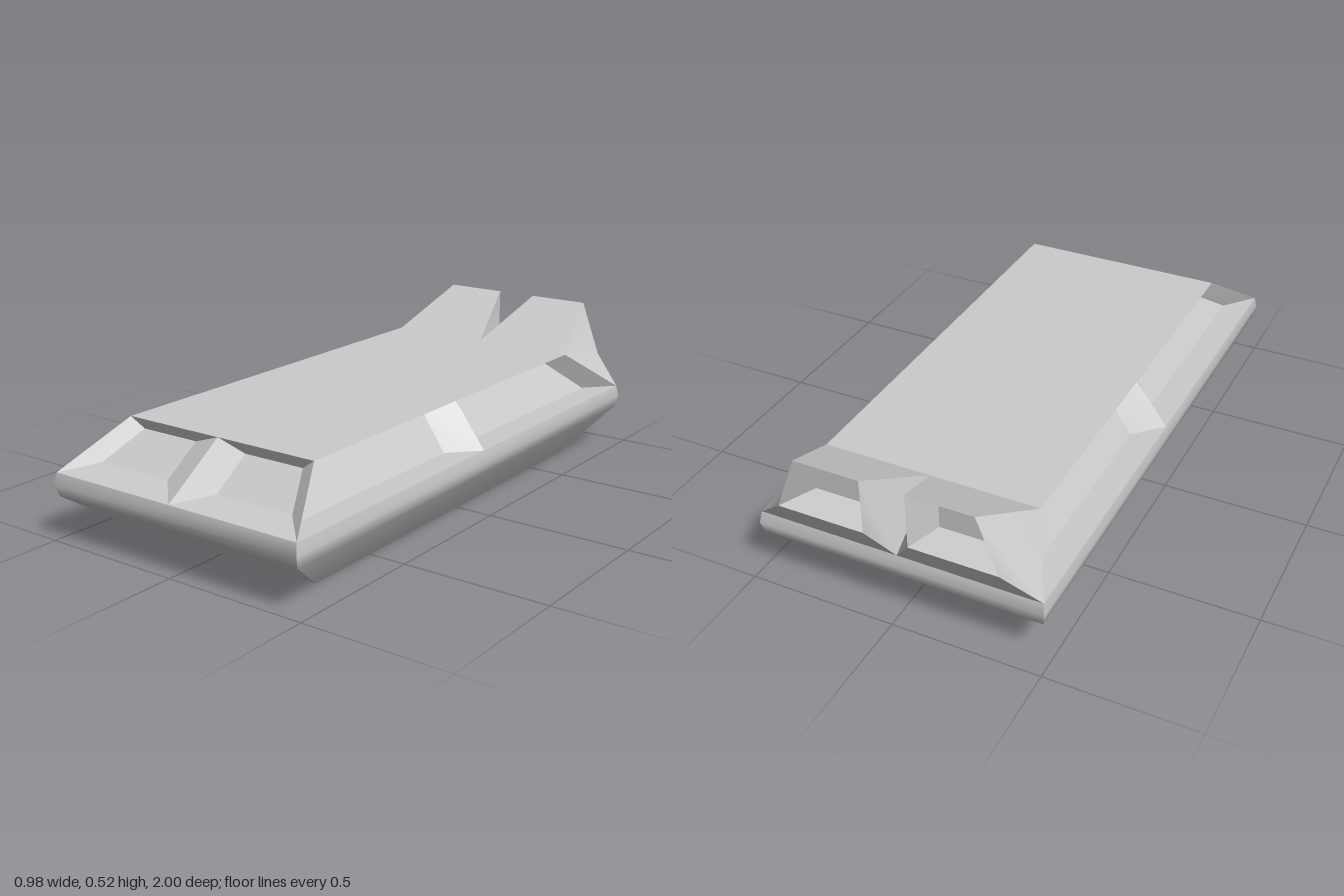
import * as THREE from 'three';

const material = new THREE.MeshStandardMaterial({ color: 0xcccccc });

function addMesh(group, name, points, index) {
  let geometry = new THREE.BufferGeometry();
  geometry.setAttribute('position', new THREE.Float32BufferAttribute(points.flat(), 3));
  geometry.setIndex(index);
  geometry.computeVertexNormals();
  const mesh = new THREE.Mesh(geometry, material);
  mesh.name = name;
  group.add(mesh);
}

// Faceted surface stepping through four-cornered rings, closed by the last one
function addFacets(group, name, rings) {
  const points = [], index = [];
  const quad = (...corners) => {
    const n = points.length;
    points.push(...corners);
    index.push(n, n + 1, n + 2, n, n + 2, n + 3);
  };
  for (let r = 0; r + 1 < rings.length; r++) {
    const a = rings[r], b = rings[r + 1];
    for (let i = 0; i < 4; i++) {
      const j = (i + 1) % 4;
      quad(a[i], a[j], b[j], b[i]);
    }
  }
  quad(...rings[rings.length - 1]);
  addMesh(group, name, points, index);
}

// The same part on the left (+x) and right (-x)
function addPair(group, name, rings) {
  addFacets(group, name + 'Left', rings);
  const mirrored = rings.map(ring => ring.map(([x, y, z]) => [-x, y, z]).reverse());
  addFacets(group, name + 'Right', mirrored);
}

// Rectangle seen counter-clockwise from above
const level = (y, x, front, back) => [[x, y, front], [x, y, back], [-x, y, back], [-x, y, front]];

export function createModel() {
  const group = new THREE.Group();
  const levels = [
    level(0, 0.37, 0.77, -0.73),
    level(0.15, 0.48, 0.985, -0.945),
    level(0.19, 0.488, 1, -0.955),
    level(0.23, 0.482, 0.99, -0.945),
  ];

  // Lower hull: each side rounded vertically, with sharp corners
  for (let i = 0; i < 4; i++) {
    const points = [], index = [];
    levels.forEach((ring, r) => {
      points.push(ring[i], ring[(i + 1) % 4]);
      if (r < 3) {
        const n = r * 2;
        index.push(n, n + 1, n + 3, n, n + 3, n + 2);
      }
    });
    addMesh(group, ['hullSideLeft', 'hullBack', 'hullSideRight', 'hullFront'][i], points, index);
  }
  addFacets(group, 'hullBottom', [[...levels[0]].reverse()]);
  addFacets(group, 'deck', [level(0.38, 0.37, 0.77, -0.73)]);

  // Recessed front panels
  addPair(group, 'frontPanel', [
    [[0, 0.23, 0.99], [0.482, 0.23, 0.99], [0.37, 0.38, 0.77], [0, 0.38, 0.77]],
    [[0.1, 0.255, 0.89], [0.385, 0.255, 0.89], [0.32, 0.345, 0.76], [0.1, 0.345, 0.76]],
  ]);

  // Recessed side panels, meeting at a rib in the middle
  addPair(group, 'frontSidePanel', [
    [[0.482, 0.23, 0.99], [0.482, 0.23, 0.02], [0.37, 0.38, 0.02], [0.37, 0.38, 0.77]],
    [[0.39, 0.23, 0.88], [0.39, 0.23, 0.12], [0.31, 0.35, 0.12], [0.31, 0.35, 0.71]],
  ]);
  addPair(group, 'rearSidePanel', [
    [[0.482, 0.23, 0.02], [0.482, 0.23, -0.945], [0.37, 0.38, -0.73], [0.37, 0.38, 0.02]],
    [[0.39, 0.23, -0.075], [0.39, 0.23, -0.84], [0.31, 0.35, -0.68], [0.31, 0.35, -0.075]],
  ]);

  // Flared rear fins with hollow back faces
  addPair(group, 'rearFin', [
    [[0.482, 0.23, -0.945], [0, 0.23, -0.945], [0, 0.38, -0.73], [0.37, 0.38, -0.73]],
    [[0.37, 0.33, -1], [0.075, 0.33, -1], [0.075, 0.52, -1], [0.298, 0.52, -1]],
    [[0.3, 0.35, -0.9], [0.125, 0.35, -0.9], [0.125, 0.44, -0.9], [0.265, 0.44, -0.9]],
  ]);
  return group;
}
